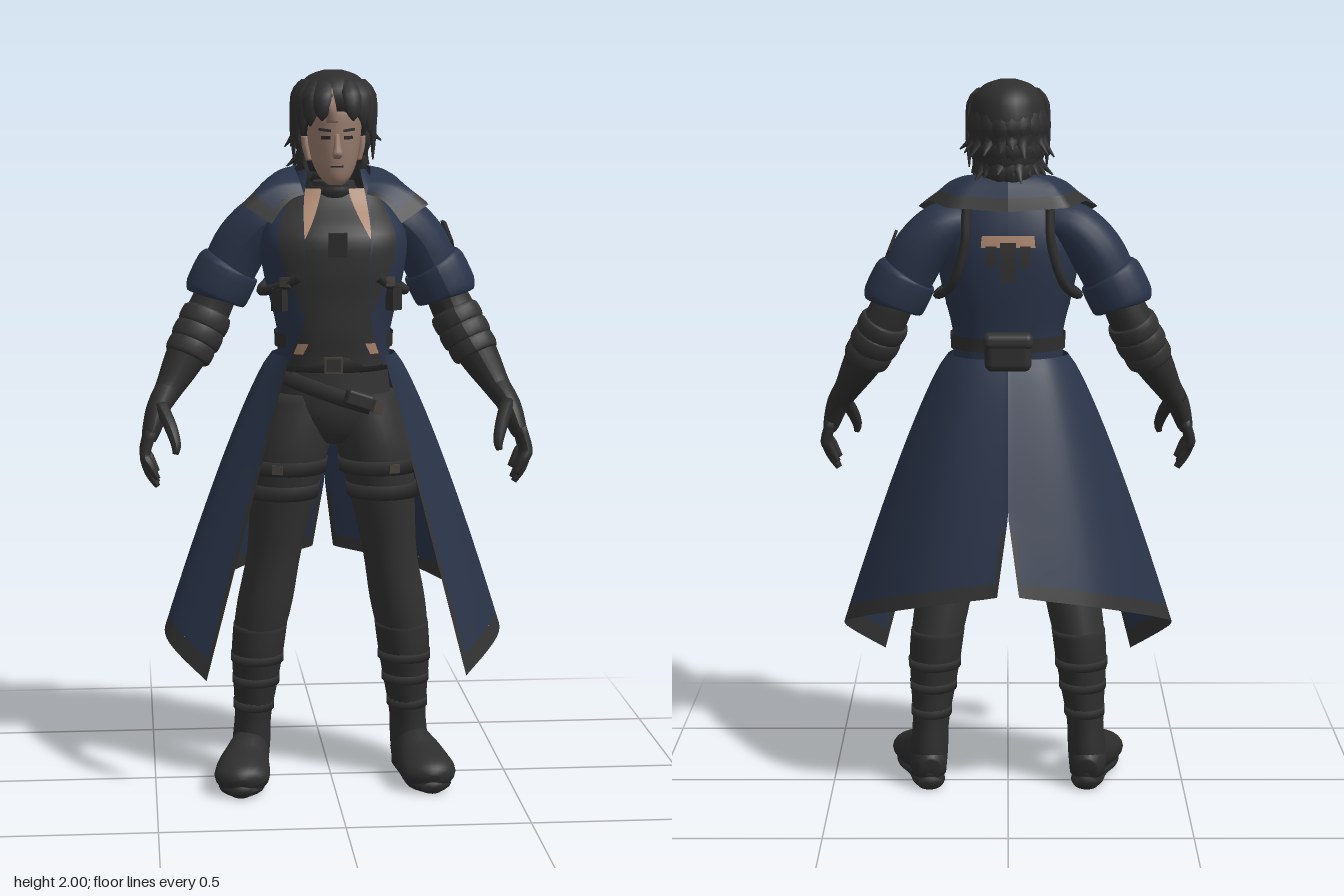
import * as THREE from 'three';
import { RoundedBoxGeometry } from 'three/addons/geometries/RoundedBoxGeometry.js';

const mat = (name, color, open) => {
  const m = new THREE.MeshStandardMaterial({ color });
  m.name = name;
  if (open) m.side = THREE.DoubleSide;
  return m;
};

// Catmull-Rom interpolation of any number of columns, t in 0..1
function at(rows, t) {
  const n = rows.length - 1, f = Math.min(Math.max(t, 0), 1) * n, i = Math.min(Math.floor(f), n - 1), k = f - i;
  const [a, b, c, d] = [rows[Math.max(i - 1, 0)], rows[i], rows[i + 1], rows[Math.min(i + 2, n)]];
  return b.map((p, j) => p + 0.5 * k * (c[j] - a[j] + k * (2 * a[j] - 5 * p + 4 * c[j] - d[j] + k * (3 * (p - c[j]) + d[j] - a[j]))));
}

// Straight-line interpolation, for outlines with sharp corners
function along(rows, t) {
  const n = rows.length - 1, i = Math.min(Math.floor(t * n), n - 1);
  return rows[i].map((p, j) => p + (rows[i + 1][j] - p) * (t * n - i));
}

// Closed grid or open sheet geometry from a point function
function grid(P, nu, nv) {
  const pos = [], idx = [];
  for (let j = 0; j <= nv; j++) for (let i = 0; i <= nu; i++) pos.push(...P(i / nu, j / nv));
  for (let j = 0; j < nv; j++) for (let i = 0; i < nu; i++) {
    const a = j * (nu + 1) + i, b = a + nu + 1;
    idx.push(a, a + 1, b + 1, a, b + 1, b);
  }
  const g = new THREE.BufferGeometry();
  g.setAttribute('position', new THREE.Float32BufferAttribute(pos, 3));
  g.setIndex(idx);
  g.computeVertexNormals();
  return g;
}

// Solid of elliptical rings; rows are [x, y, z, radius along ref, other radius]
function limbGeo(rows, { ref = [1, 0, 0], flat = false, seg = 20, n = 4 } = {}) {
  const count = (rows.length - 1) * n, rings = [];
  for (let i = 0; i <= count; i++) rings.push(at(rows, i / count));
  const frames = rings.map((r, i) => {
    const p = rings[Math.max(i - 1, 0)], q = rings[Math.min(i + 1, count)];
    const t = flat ? new THREE.Vector3(0, Math.sign(rows.at(-1)[1] - rows[0][1]), 0)
      : new THREE.Vector3(q[0] - p[0], q[1] - p[1], q[2] - p[2]).normalize();
    const a = new THREE.Vector3(...ref).addScaledVector(t, -t.dot(new THREE.Vector3(...ref))).normalize();
    return [r, a, t.clone().cross(a)];
  });
  const total = count + 2;
  return grid((u, v) => {
    const k = Math.round(v * total), [r, a, b] = frames[Math.min(Math.max(k - 1, 0), count)];
    const s = k === 0 || k === total ? 0 : 1, w = u * Math.PI * 2;
    const c = Math.cos(w) * Math.abs(r[3]) * s, d = Math.sin(w) * Math.abs(r[4]) * s;
    return [r[0] + a.x * c + b.x * d, r[1] + a.y * c + b.y * d, r[2] + a.z * c + b.z * d];
  }, seg, total);
}

export function createModel() {
  const root = new THREE.Group();
  root.name = 'coatedFighter';
  const navy = mat('navyCoat', 0x2a3449, true), trim = mat('darkTrim', 0x333333, true), cloth = mat('blackCloth', 0x323232, true);
  const leather = mat('blackLeather', 0x2e2e2e, true), hair = mat('darkHair', 0x2e2e2e), skin = mat('faceSkin', 0x967a6c);
  const bodySkin = mat('bodySkin', 0xac8870, true), sole = mat('sole', 0x262626), metal = mat('buckleMetal', 0x453f39), ink = mat('eyeDark', 0x2a2423);
  const add = (name, geo, m, p = [0, 0, 0], r = [0, 0, 0]) => {
    const mesh = new THREE.Mesh(geo, m);
    mesh.name = name;
    mesh.position.set(...p);
    mesh.rotation.set(...r);
    root.add(mesh);
    return mesh;
  };
  const limb = (name, m, rows, o) => add(name, limbGeo(rows, o), m);
  const box = (name, m, size, p, r) => add(name, new THREE.BoxGeometry(...size), m, p, r);
  const both = f => [-1, 1].forEach(s => f(s, s > 0 ? 'left' : 'right'));
  const flip = (s, rows) => rows.map(([x, ...rest]) => [x * s, ...rest]);

  // Upper body section: half width, centre z, depth, half opening of the coat, every 0.09 from y 1.20
  const sections = [[.155, .087, .127, .13], [.155, .092, .137, .1], [.175, .09, .148, .085], [.195, .09, .159, .085],
    [.198, .085, .157, .09], [.15, .055, .107, .085], [.085, .055, .075, .07]];
  const section = y => at(sections, (y - 1.2) / .54);
  const boxy = c => Math.sign(c) * Math.abs(c) ** .82;
  const body = (w, y, off) => {
    const [rx, cz, rz] = section(y);
    return [(rx + off) * boxy(Math.sin(w)), y, cz + (rz + off) * boxy(Math.cos(w))];
  };
  const openAngle = y => Math.asin(Math.min(.95, section(y)[3] / section(y)[0]) ** (1 / .82));
  const patch = (name, m, w0, w1, y0, y1, off, nu = 24, nv = 16) => add(name, grid((u, v) => {
    const y = y0 + (y1 - y0) * v, a = typeof w0 === 'function' ? w0(y, v) : w0, b = typeof w1 === 'function' ? w1(y, v) : w1;
    return body(a + (b - a) * u, y, off);
  }, nu, nv), m);

  patch('shirt', cloth, -Math.PI, Math.PI, 1.2, 1.68, -.012, 48, 24);
  patch('backSkinPanel', bodySkin, Math.PI - .3, Math.PI + .3, 1.545, 1.578, .003, 12, 2);
  [-.17, 0, .17].forEach((w, i) => patch('backPanelTear', trim, Math.PI + w - .065, Math.PI + w + .065, [1.49, 1.45, 1.49][i], [1.55, 1.56, 1.55][i], .005, 4, 4));
  limb('collarNeck', cloth, [[0, 1.58, .055, .09, .08], [0, 1.63, .07, .066, .066], [0, 1.68, .085, .06, .062], [0, 1.7, .09, .056, .058]], { flat: true });
  limb('collarRoll', leather, [[0, 1.655, .08, .066, .068], [0, 1.672, .084, .068, .07], [0, 1.685, .087, .063, .066]], { flat: true });
  box('pendant', leather, [.05, .065, .012], [0, 1.535, .238], [.1, 0, 0]);

  // Coat skirt: waist line and hem line from the front edge round to the back
  const waist = [[.13, 1.23, .21], [.16, 1.23, .14], [.166, 1.23, .06], [.105, 1.23, -.022], [0, 1.23, -.045]];
  const hem = [[.36, .335, .213], [.468, .435, .1], [.425, .49, -.03], [.24, .565, -.21], [0, .61, -.278]];

  both((s, side) => {
    // Coat body, lapel and exposed skin
    patch(side + 'CoatBody', navy, y => s * openAngle(y), s * Math.PI, 1.2, 1.73, 0);
    patch(side + 'Lapel', trim, y => s * openAngle(y), (y, v) => s * (openAngle(y) + .03 + .4 * Math.sin(Math.min(1, v * 1.1) * 2.2)), 1.35, 1.66, .007, 8);
    patch(side + 'CollarboneSkin', bodySkin, (y, v) => s * (openAngle(y) - .38 * v), y => s * (openAngle(y) + .03), 1.55, 1.68, -.004, 5, 8);
    patch(side + 'WaistSkin', bodySkin, y => s * (openAngle(y) - .25), y => s * openAngle(y), 1.235, 1.265, -.004, 4, 3);
    patch(side + 'RearBelt', leather, s * .95, s * Math.PI, 1.25, 1.29, .008, 20, 2);

    const skirt = (u, v) => {
      const a = at(waist, u), b = at(hem, u), k = v ** (1 - .2 * Math.min(1, u * 4));
      const x = a[0] + (b[0] - a[0]) * k + u ** 10 * .03 * Math.max(0, (v - .66) / .34);
      return [s * x, a[1] + (b[1] - a[1]) * v, a[2] + (b[2] - a[2]) * k];
    };
    const skirtPart = (name, m, u0, u1, v0, v1, nu, nv) =>
      add(side + name, grid((u, v) => skirt(u0 + (u1 - u0) * u, v0 + (v1 - v0) * v), nu, nv), m);
    skirtPart('CoatSkirt', navy, .03, .97, 0, .94, 32, 24);
    skirtPart('BackSeam', navy, .97, 1, 0, .72, 3, 16);
    skirtPart('SlitTrim', trim, .97, 1, .72, .94, 3, 8);
    skirtPart('HemTrim', trim, .03, 1, .94, 1, 32, 2);
    skirtPart('FrontEdgeTrim', trim, 0, .03, 0, 1, 2, 24);

    // Wide pointed collar with trim
    const inner = [[.085, 1.665, .16], [.095, 1.7, .14], [.105, 1.735, .06], [.065, 1.745, -.01], [0, 1.745, -.03]];
    const outer = [[.175, 1.59, .205], [.255, 1.64, .165], [.215, 1.665, .04], [.168, 1.655, -.07], [0, 1.645, -.088]];
    const collar = (name, m, k0, k1, u0, u1) => add(side + name, grid((u, v) => {
      const w = u0 + (u1 - u0) * u, a = along(inner, w), b = along(outer, w), k = k0 + (k1 - k0) * v;
      return [s * (a[0] + (b[0] - a[0]) * k), a[1] + (b[1] - a[1]) * k + .02 * Math.sin(k * Math.PI), a[2] + (b[2] - a[2]) * k];
    }, 20, 6), m);
    collar('Collar', navy, 0, .78, .05, 1);
    collar('CollarTrim', trim, .78, 1, .05, 1);
    collar('CollarFrontTrim', trim, 0, 1, 0, .05);

    // Sleeve and turned-up cuff
    const z = [0, 0, 1];
    limb(side + 'Sleeve', navy, flip(s, [[.1, 1.615, .035, .07, .055], [.18, 1.59, .03, .09, .073], [.242, 1.53, .022, .09, .077], [.283, 1.455, .02, .082, .075], [.3, 1.42, .02, .08, .074]]), { ref: z });
    limb(side + 'SleeveCuff', navy, flip(s, [[.28, 1.466, .02, .084, .078], [.286, 1.455, .02, .094, .089], [.318, 1.39, .02, .094, .089], [.323, 1.378, .02, .084, .078]]), { ref: z, n: 3 });

    // Gloved forearm with padded bands
    limb(side + 'Forearm', leather, flip(s, [[.3, 1.43, .02, .06, .055], [.33, 1.36, .02, .062, .058], [.37, 1.28, .035, .066, .062], [.415, 1.2, .06, .056, .053], [.455, 1.13, .09, .04, .038], [.475, 1.1, .11, .04, .034]]), { ref: z });
    for (const [x, y, d, r] of [[.352, 1.312, .028, .07], [.372, 1.272, .038, .07], [.392, 1.235, .05, .066]])
      limb(side + 'ForearmBand', cloth, flip(s, [[x - .012, y + .022, d - .006, r - .006, r - .006], [x - .007, y + .012, d - .003, r, r], [x + .007, y - .012, d + .003, r, r], [x + .012, y - .022, d + .006, r - .006, r - .006]]), { ref: z, n: 2 });
    limb(side + 'Palm', leather, flip(s, [[.455, 1.135, .085, .036, .034], [.485, 1.08, .13, .05, .032], [.505, 1.02, .16, .052, .024], [.51, 1, .165, .045, .018]]), { ref: z });
    [[.115, .91], [.148, .885], [.182, .88], [.212, .905]].forEach(([d, tip]) =>
      limb(side + 'Finger', leather, flip(s, [[.505, 1.03, d, .016, .016], [.522, .97, d + .008, .015, .015], [.51, tip + .04, d + .018, .014, .014], [.488, tip, d + .02, .008, .008]]), { ref: z, seg: 10, n: 3 }));
    limb(side + 'Thumb', leather, flip(s, [[.475, 1.09, .16, .024, .02], [.452, 1.045, .215, .02, .018], [.438, 1.0, .245, .015, .014], [.44, .975, .252, .008, .008]]), { ref: z, seg: 10, n: 3 });

    // Shoulder harness
    const path = new THREE.CatmullRomCurve3([[.115, 1.65, -.05], [.12, 1.55, -.062], [.155, 1.44, -.037], [.197, 1.4, .06], [.185, 1.405, .14], [.135, 1.43, .22], [.105, 1.45, .243]].map(([x, y, d]) => new THREE.Vector3(x * s, y, d)));
    add(side + 'HarnessStrap', new THREE.TubeGeometry(path, 32, .013, 8), leather);
    box(side + 'HarnessBuckle', metal, [.03, .025, .012], [s * .14, 1.435, .226], [0, s * .6, 0]);
    box(side + 'HarnessPouch', leather, [.04, .06, .025], [s * .155, 1.385, .198], [0, s * .8, 0]);

    // Trousers and thigh straps
    limb(side + 'Leg', cloth, flip(s, [[.08, 1.12, .07, .09, .105], [.115, .97, .075, .105, .115], [.14, .82, .065, .09, .102], [.163, .66, .045, .076, .09], [.187, .52, .025, .078, .092], [.205, .42, .008, .072, .09]]), { flat: true, seg: 24 });
    for (const [x, y, r] of [[.124, .915, .108], [.137, .845, .099]])
      limb(side + 'ThighStrap', leather, flip(s, [[x - .003, y + .02, .071, r, r + .009], [x + .003, y - .02, .068, r, r + .009]]), { flat: true, seg: 24, n: 1 });
    box(side + 'ThighBuckle', metal, [.03, .025, .012], [s * .16, .915, .178], [0, s * .3, 0]);

    // Boots
    limb(side + 'BootShaft', leather, flip(s, [[.2, .45, .01, .076, .093], [.208, .37, .008, .073, .093], [.214, .28, .002, .063, .083], [.221, .18, -.008, .052, .074], [.226, .1, -.012, .054, .075], [.228, .03, -.012, .05, .07]]), { flat: true, seg: 24 });
    for (const [x, y, d, r] of [[.209, .355, .007, .075], [.213, .29, .003, .067], [.219, .215, -.004, .058]])
      limb(side + 'BootStrap', cloth, flip(s, [[x, y + .012, d, r, r + .02], [x, y - .012, d, r, r + .02]]), { flat: true, n: 1 });
    limb(side + 'Foot', leather, flip(s, [[.222, .055, -.085, .03, .035], [.226, .064, -.05, .05, .06], [.236, .078, .03, .056, .07], [.252, .062, .1, .072, .058], [.262, .05, .17, .077, .05], [.266, .042, .205, .058, .04], [.267, .035, .223, .02, .02]]));
    limb(side + 'Sole', sole, flip(s, [[.222, .018, -.09, .035, .018], [.226, .018, -.05, .046, .018], [.238, .018, .03, .05, .018], [.256, .018, .11, .063, .018], [.264, .018, .185, .06, .018], [.267, .018, .225, .03, .016]]));
  });

  // Hips, belts and pouches
  limb('hips', cloth, [[0, 1.25, .085, .14, .11], [0, 1.15, .078, .155, .118], [0, 1.07, .075, .158, .118], [0, 1.01, .07, .11, .1], [0, .98, .07, .04, .07]], { flat: true, seg: 28 });
  limb('waistBelt', leather, [[0, 1.23, .085, .146, .122], [0, 1.185, .083, .154, .126]], { flat: true, seg: 28, n: 1 });
  limb('slungBelt', leather, [[.008, 1.14, .078, .162, .13], [-.006, 1.1, .078, .165, .131]], { seg: 28, n: 1 });
  box('beltBuckle', metal, [.05, .045, .014], [-.01, 1.207, .212]);
  box('beltBuckleCentre', leather, [.04, .034, .016], [-.01, 1.207, .213]);
  box('slungBuckle', metal, [.03, .035, .012], [.115, 1.085, .178], [0, .5, -.33]);
  add('frontPouch', new RoundedBoxGeometry(.08, .045, .035, 3, .01), leather, [.06, 1.11, .205], [0, .25, -.33]);
  add('rearPouch', new RoundedBoxGeometry(.13, .1, .055, 3, .022), leather, [0, 1.25, -.055]);
  add('rearPouchFlap', new RoundedBoxGeometry(.138, .045, .062, 3, .018), cloth, [0, 1.285, -.056]);

  // Shield-shaped patch on the left sleeve
  const shield = new THREE.Shape([[-.036, .036], [.036, .036], [.036, -.018], [0, -.04], [-.036, -.018]].map(p => new THREE.Vector2(...p)));
  const badge = new THREE.ExtrudeGeometry(shield, { depth: .008, bevelEnabled: false });
  const b = add('sleevePatch', badge, trim, [.32, 1.546, .025]);
  b.lookAt(1.22, 1.9, .025);

  // Head and face
  limb('head', skin, [[0, 1.692, .165, .02, .022], [0, 1.71, .148, .04, .052], [0, 1.745, .125, .058, .082], [0, 1.79, .112, .068, .1], [0, 1.84, .108, .074, .106], [0, 1.89, .104, .075, .108], [0, 1.94, .1, .06, .09]], { flat: true, seg: 28 });
  limb('nose', skin, [[0, 1.83, .208, .007, .008], [0, 1.795, .218, .01, .012], [0, 1.775, .222, .014, .014], [0, 1.764, .212, .008, .006]], { flat: true, seg: 12 });
  limb('forehead', skin, [[-.014, 1.86, .212, .016, .02], [-.017, 1.9, .222, .014, .02], [-.015, 1.95, .2, .004, .02]], { flat: true, seg: 12 });
  box('mouth', ink, [.034, .004, .006], [0, 1.743, .204]);
  both((s, side) => {
    box(side + 'Eye', ink, [.026, .009, .006], [s * .03, 1.82, .204], [0, s * .4, 0]);
    box(side + 'Brow', hair, [.034, .007, .008], [s * .032, 1.84, .204], [0, s * .4, s * .12]);
    limb(side + 'Ear', skin, flip(s, [[.068, 1.755, .1, .008, .012], [.076, 1.79, .092, .01, .02], [.078, 1.82, .088, .01, .018]]), { flat: true, seg: 10 });
  });

  // Hair: cap, swept fringe and layered locks
  limb('hairCap', hair, [[0, 1.72, .005, .06, .045], [0, 1.77, .02, .083, .08], [0, 1.82, .034, .098, .1], [0, 1.87, .06, .106, .135], [0, 1.91, .075, .106, .147], [0, 1.95, .08, .096, .138], [0, 1.983, .08, .066, .1], [0, 1.998, .08, .025, .04]], { flat: true, seg: 28 });
  let seed = 7;
  const rand = () => (seed = (seed * 16807) % 2147483647) / 2147483647;
  const lock = (name, a, ...points) => limb(name, hair, points.map(([r, y, wide, thin]) => [Math.sin(a) * r * .8, y, .06 + Math.cos(a) * r, wide, thin]),
    { ref: [Math.cos(a), 0, -Math.sin(a)], seg: 8, n: 3 });
  both((s, side) => {
    for (const [deg, r, tip] of [[17, .178, 1.865], [31, .174, 1.85], [46, .158, 1.83], [62, .146, 1.8], [78, .138, 1.755]])
      lock(side + 'FringeLock', s * deg * Math.PI / 180, [r * .72, 1.965, .026, .012], [r * .95, 1.93, .027, .013], [r, (1.93 + tip) / 2 - .01, .02, .01], [r, tip, .002, .002]);
  });
  for (let layer = 0; layer < 3; layer++) for (let i = 0; i < 11; i++) {
    const a = (88 + (i + rand() * .8) * 17.5) * Math.PI / 180, top = 1.94 - layer * .065, flick = rand() * .04;
    lock('hairLock', a, [.095, top, .026, .014], [.124 - layer * .008, top - .06, .03, .015], [.12 - layer * .012, top - .1, .02, .012], [.13 + flick - layer * .01, top - .125 - rand() * .03, .002, .002]);
  }
  return root;
}
